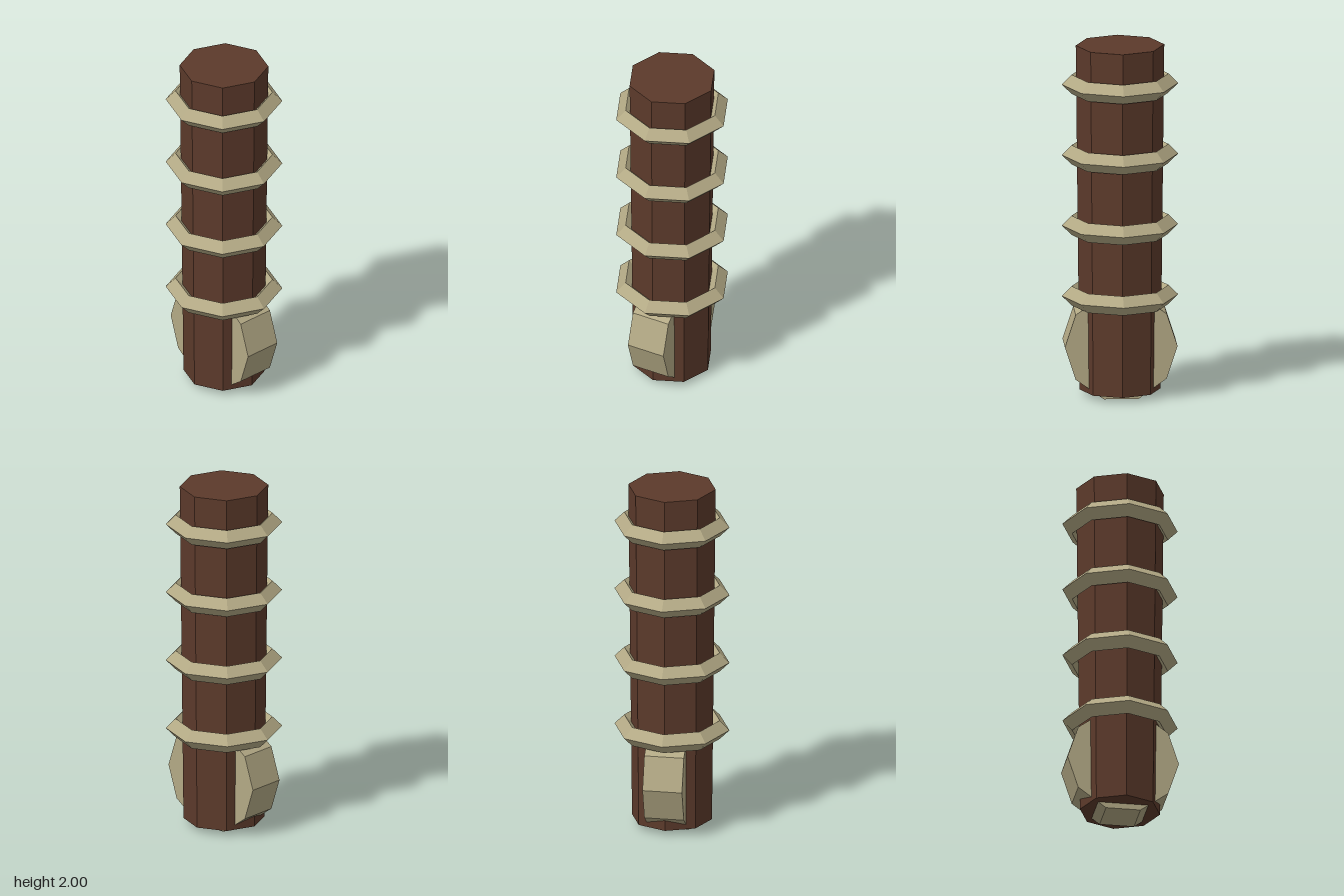
import * as THREE from 'three';

export function createModel() {
  const group = new THREE.Group();
  const wood = new THREE.MeshStandardMaterial({ color: 0x5c3a2b, flatShading: true });
  const metal = new THREE.MeshStandardMaterial({ color: 0xb3a985, flatShading: true });

  const add = (name, geometry, material, y) => {
    const mesh = new THREE.Mesh(geometry, material);
    mesh.name = name;
    mesh.position.y = y;
    group.add(mesh);
    return mesh;
  };

  // Eight-sided grip, slightly wider at the top
  const bottom = 0.033, top = 2;
  add('grip', new THREE.CylinderGeometry(0.247, 0.226, top - bottom, 8), wood, (top + bottom) / 2);

  // Four diamond-section bands around the grip
  const bandGeometry = new THREE.TorusGeometry(0.27, 0.055, 4, 8).rotateX(Math.PI / 2);
  for (let i = 0; i < 4; i++) add(`band${i + 1}`, bandGeometry, metal, 0.569 + i * 0.403);

  // Ten-sided pommel disc, set through the lower end with corners pointing sideways
  const pommelGeometry = new THREE.CylinderGeometry(0.314, 0.314, 0.223, 10, 1, false, Math.PI / 2)
    .rotateX(Math.PI / 2);
  add('pommel', pommelGeometry, metal, 0.299);

  return group;
}
